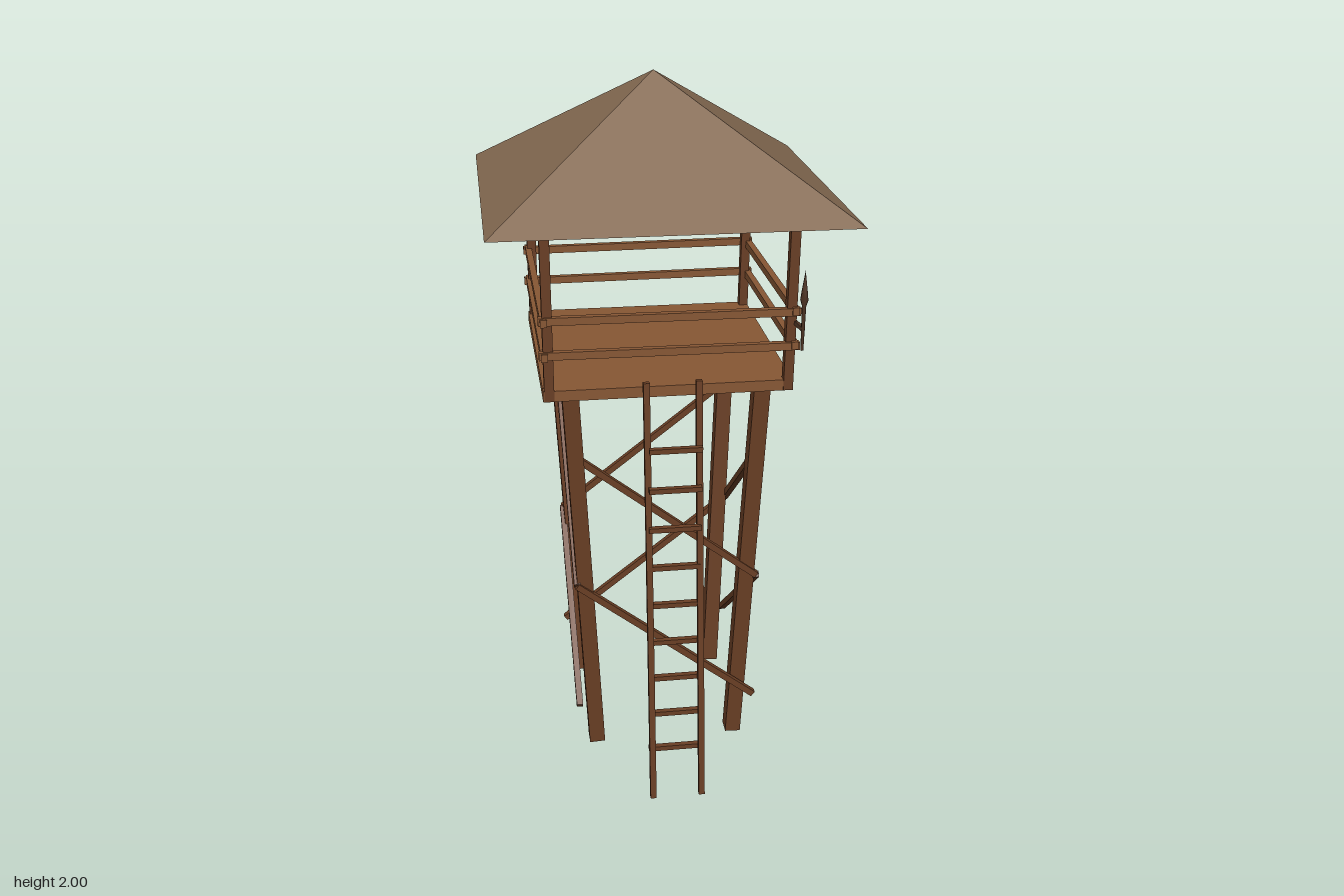
import * as THREE from 'three';

const mat = (name, color) => {
  const m = new THREE.MeshStandardMaterial({ color });
  m.name = name;
  return m;
};

export function createModel() {
  const timber = mat('dark timber', 0x6a3f25);
  const plank = mat('plank wood', 0x87573400 >>> 8);
  const thatch = mat('roof brown', 0x826850);
  const soot = mat('dark torch wood', 0x4f3524);

  const tower = new THREE.Group();
  tower.name = 'watchtower';
  const up = new THREE.Vector3(0, 1, 0);

  const group = (name, parent = tower) => {
    const g = new THREE.Group();
    g.name = name;
    parent.add(g);
    return g;
  };

  // straight beam between two points; w and d are its cross-section
  const beam = (name, from, to, w, d, material, parent = tower) => {
    const a = new THREE.Vector3(...from), b = new THREE.Vector3(...to);
    const dir = b.clone().sub(a);
    const mesh = new THREE.Mesh(new THREE.BoxGeometry(w, dir.length(), d), material);
    mesh.position.copy(a).add(b).multiplyScalar(0.5);
    mesh.quaternion.setFromUnitVectors(up, dir.normalize());
    mesh.name = name;
    parent.add(mesh);
    return mesh;
  };

  // splayed legs, narrower at the ground, and roof posts
  const legs = group('legs');
  const posts = group('roofPosts');
  for (const sx of [-1, 1]) {
    for (const sz of [-1, 1]) {
      const footX = sx < 0 ? -0.197 : 0.213;
      const footZ = sz < 0 ? -0.225 : 0.178;
      beam('leg', [footX, 0.05, footZ], [sx * 0.26, 1.2, -0.014 + sz * 0.26], 0.045, 0.045, timber, legs);
      beam('roofPost', [sx * 0.318, 1.2, -0.013 + sz * 0.317], [sx * 0.322, 1.685, 0.002 + sz * 0.317],
        0.026, 0.026, timber, posts);
    }
  }

  // two diagonal braces on each side, the same pattern turned four times
  for (let i = 0; i < 4; i++) {
    const side = group('braces');
    side.position.set(0.007, 0, -0.026);
    side.rotation.y = i * Math.PI / 2;
    for (const y of [0.6, 0.2]) {
      beam('brace', [-0.257, y + 0.4, 0.257], [0.257, y, 0.257], 0.018, 0.018, timber, side);
    }
  }

  // floor
  const floor = new THREE.Mesh(new THREE.BoxGeometry(0.665, 0.03, 0.662), plank);
  floor.position.set(-0.002, 1.214, -0.016);
  floor.name = 'platform';
  tower.add(floor);

  // two railings on each side
  for (let i = 0; i < 4; i++) {
    const side = group('railing');
    side.position.set(0, 0, -0.01);
    side.rotation.y = i * Math.PI / 2;
    for (const y of [1.33, 1.424]) {
      beam('rail', [-0.343, y, 0.329], [0.343, y - 0.003, 0.329], 0.021, 0.018, plank, side);
    }
  }

  // leaning ladder
  const ladder = group('ladder');
  beam('ladderRail', [-0.06, 0.005, 0.43], [-0.068, 1.255, 0.352], 0.017, 0.017, timber, ladder);
  beam('ladderRail', [0.08, 0.005, 0.43], [0.071, 1.255, 0.352], 0.017, 0.017, timber, ladder);
  for (let i = 0; i < 9; i++) {
    const y = 0.14 + i * 0.1172, z = 0.383 + 0.012 * (i / 8) ** 3;
    beam('rung', [-0.066, y, z], [0.076, y, z], 0.014, 0.016, timber, ladder);
  }

  // torch held off the front left post by a bracket
  const torch = group('torch');
  beam('bracket', [0.33, 1.39, 0.31], [0.338, 1.39, 0.375], 0.01, 0.01, soot, torch);
  const profile = [[0, 0], [0.004, 0.002], [0.006, 0.125], [0.011, 0.14], [0.008, 0.165], [0, 0.22]]
    .map(([r, y]) => new THREE.Vector2(r, y));
  const stick = new THREE.Mesh(new THREE.LatheGeometry(profile, 6), soot);
  stick.position.set(0.338, 1.33, 0.371);
  stick.rotation.x = 0.03;
  stick.name = 'torchStick';
  torch.add(stick);

  // square pyramid roof with a flat underside
  const pyramid = new THREE.ConeGeometry(0.47 * Math.SQRT2, 0.32, 4).rotateY(Math.PI / 4 - 0.005).toNonIndexed();
  const p = pyramid.attributes.position;
  for (let i = 0; i < p.count; i++) {
    if (p.getY(i) > 0) p.setXYZ(i, -0.003, p.getY(i), 0.011);
  }
  pyramid.computeVertexNormals();
  const roof = new THREE.Mesh(pyramid, thatch);
  roof.position.y = 1.84;
  roof.name = 'roof';
  tower.add(roof);

  return tower;
}
